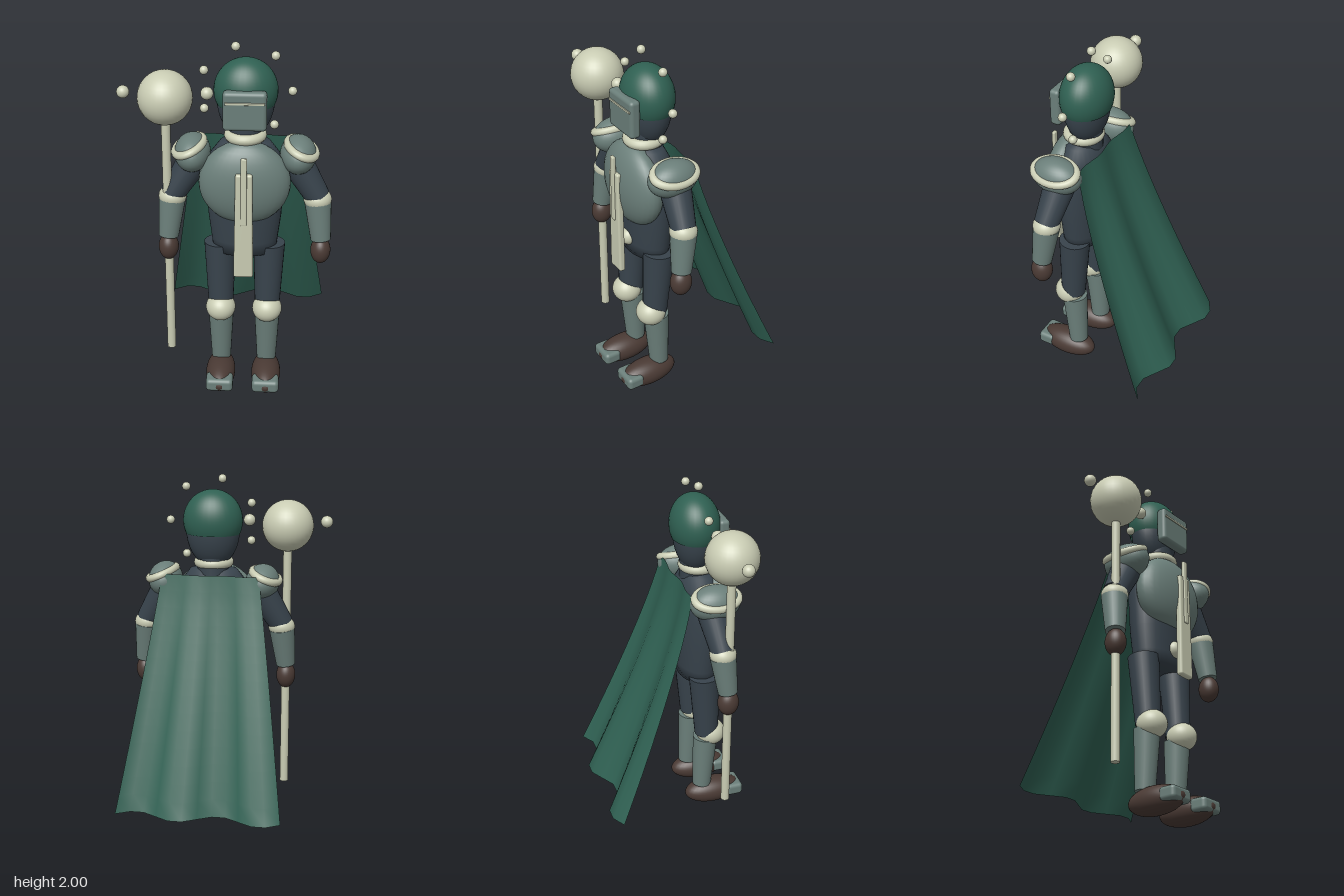
import * as THREE from 'three';
import { RoundedBoxGeometry } from 'three/addons/geometries/RoundedBoxGeometry.js';

const mat = (name, color) => Object.assign(new THREE.MeshStandardMaterial({ color }), { name });

export function createModel() {
  const green = mat('cloth green', 0x2f6052);
  green.side = THREE.DoubleSide;
  const steel = mat('steel grey', 0x6b7f7a);
  const dark = mat('dark padding', 0x38434c);
  const cream = mat('pale trim', 0xc9ccb3);
  const brown = mat('brown leather', 0x4a3a34);

  const model = new THREE.Group();
  model.name = 'knight';
  const body = new THREE.Group(); // centred on the figure, the staff stands apart
  body.name = 'body';
  body.position.x = 0.093;
  model.add(body);

  const add = (parent, name, geometry, material, x, y, z) => {
    const mesh = new THREE.Mesh(geometry, material);
    mesh.name = name;
    mesh.position.set(x, y, z);
    parent.add(mesh);
    return mesh;
  };
  const ball = (parent, name, material, [x, y, z], [rx, ry, rz], thetaEnd = Math.PI) => {
    const g = new THREE.SphereGeometry(1, 32, 20, 0, Math.PI * 2, 0, thetaEnd);
    g.scale(rx, ry, rz); // baked in so that normals stay right
    return add(parent, name, g, material, x, y, z);
  };
  const box = (parent, name, material, [x, y, z], [w, h, d], r) =>
    add(parent, name, new RoundedBoxGeometry(w, h, d, 3, r), material, x, y, z);
  // Tapered limb from a to b
  const limb = (parent, name, material, a, b, ra, rb) => {
    const from = new THREE.Vector3(...a), to = new THREE.Vector3(...b);
    const dir = from.clone().sub(to);
    const mid = from.clone().add(to).multiplyScalar(0.5);
    const mesh = add(parent, name, new THREE.CylinderGeometry(ra, rb, dir.length(), 24), material, mid.x, mid.y, mid.z);
    mesh.quaternion.setFromUnitVectors(new THREE.Vector3(0, 1, 0), dir.normalize());
    return mesh;
  };

  // Torso
  const profile = [[0, 0.85], [0.17, 0.85], [0.178, 0.92], [0.195, 1.06], [0.205, 1.25],
    [0.19, 1.4], [0.13, 1.48], [0, 1.5]].map(([r, y]) => new THREE.Vector2(r, y));
  const torso = new THREE.LatheGeometry(profile, 32);
  torso.scale(1, 1, 0.64);
  add(body, 'torso', torso, dark, 0, 0, 0.19);
  ball(body, 'breastplate', steel, [0, 1.272, 0.26], [0.24, 0.233, 0.112]);
  ball(body, 'buckle', cream, [0, 0.945, 0.295], [0.046, 0.048, 0.046]);

  // Chest ornament: broad strip, slightly wider at the foot, with a narrow bar on it
  const strip = new RoundedBoxGeometry(0.096, 0.6, 0.036, 3, 0.012);
  const p = strip.attributes.position;
  for (let i = 0; i < p.count; i++) p.setX(i, p.getX(i) * (1 - p.getY(i) * 0.3));
  add(body, 'chestStrip', strip, cream, 0, 1.067, 0.364);
  box(body, 'chestBar', cream, [0, 1.27, 0.379], [0.032, 0.38, 0.02], 0.006);

  // Collar and head
  limb(body, 'neck', dark, [0, 1.6, 0.18], [0, 1.44, 0.18], 0.09, 0.09);
  const collar = new THREE.TorusGeometry(0.083, 0.028, 14, 36);
  collar.rotateX(Math.PI / 2);
  add(body, 'collar', collar, cream, 0, 1.515, 0.193);
  ball(body, 'head', dark, [0, 1.7, 0.17], [0.149, 0.21, 0.115]);
  ball(body, 'helmet', green, [0, 1.75, 0.17], [0.165, 0.17, 0.135], Math.PI * 0.64);
  box(body, 'visor', steel, [0, 1.688, 0.303], [0.222, 0.206, 0.06], 0.02);
  box(body, 'visorSlit', cream, [0, 1.735, 0.333], [0.2, 0.013, 0.01], 0.003);

  // Seven orbs circling the head
  for (let i = 0; i < 7; i++) {
    const a = (i / 7) * Math.PI * 2;
    ball(body, 'haloOrb', cream, [Math.cos(a) * 0.237, 1.748 + Math.sin(a) * 0.237, 0.17], [0.023, 0.023, 0.023]);
  }

  // Arms and legs, mirrored
  for (const s of [1, -1]) {
    const side = s > 0 ? 'left' : 'right';
    const arm = new THREE.Group();
    arm.name = side + 'Arm';
    ball(arm, 'pauldron', steel, [s * 0.275, 1.41, 0.193], [0.095, 0.098, 0.14]);
    const rim = new THREE.TorusGeometry(0.08, 0.02, 12, 36);
    rim.rotateX(Math.PI / 2);
    rim.scale(1, 1.1, 1.42);
    rim.rotateZ(-s * 0.38);
    add(arm, 'pauldronRim', rim, cream, s * 0.292, 1.444, 0.193);
    limb(arm, 'upperArm', dark, [s * 0.25, 1.39, 0.175], [s * 0.385, 1.17, 0.2], 0.088, 0.066);
    ball(arm, 'elbow', cream, [s * 0.384, 1.157, 0.2], [0.075, 0.06, 0.073]);
    limb(arm, 'forearm', steel, [s * 0.386, 1.145, 0.2], [s * 0.408, 0.93, 0.225], 0.072, 0.054);
    ball(arm, 'hand', brown, [s * 0.409, 0.865, 0.228], [0.054, 0.075, 0.059]);
    body.add(arm);

    const leg = new THREE.Group();
    leg.name = side + 'Leg';
    limb(leg, 'thigh', dark, [s * 0.133, 0.885, 0.19], [s * 0.128, 0.5, 0.212], 0.086, 0.068);
    ball(leg, 'knee', cream, [s * 0.128, 0.495, 0.238], [0.082, 0.077, 0.083]);
    limb(leg, 'shin', steel, [s * 0.128, 0.47, 0.205], [s * 0.128, 0.14, 0.188], 0.071, 0.054);
    ball(leg, 'boot', brown, [s * 0.128, 0.08, 0.26], [0.082, 0.077, 0.172]);
    box(leg, 'toeCap', steel, [s * 0.128, 0.084, 0.377], [0.15, 0.074, 0.1], 0.022);
    body.add(leg);
  }

  // Cape: a sheet that flares and ripples more towards the hem
  const cape = new THREE.PlaneGeometry(1, 1, 12, 14);
  const c = cape.attributes.position;
  for (let i = 0; i < c.count; i++) {
    const u = c.getX(i), t = 0.5 - c.getY(i);
    const ripple = Math.sin((u + 0.5) * Math.PI * 4) * (0.008 + 0.042 * t);
    c.setXYZ(i, u * 2 * (0.27 + 0.185 * t), 1.46 - 1.25 * t, 0.066 - 0.451 * Math.pow(t, 1.2) - ripple);
  }
  // Turn the sheet so that its front faces backwards
  const idx = cape.index;
  for (let i = 0; i < idx.count; i += 3) {
    const k = idx.getX(i);
    idx.setX(i, idx.getX(i + 1));
    idx.setX(i + 1, k);
  }
  cape.computeVertexNormals();
  add(body, 'cape', cape, green, 0, 0, 0);

  // Staff with its globe and two orbs
  const staff = new THREE.Group();
  staff.name = 'staff';
  staff.position.set(-0.315, 0, 0.227);
  limb(staff, 'staffShaft', cream, [0, 1.65, 0], [0, 0.215, 0], 0.024, 0.024);
  ball(staff, 'staffGlobe', cream, [0, 1.722, 0], [0.142, 0.142, 0.142]);
  for (const s of [1, -1]) ball(staff, 'staffOrb', cream, [s * 0.213, 1.748, 0], [0.033, 0.033, 0.033]);
  model.add(staff);

  return model;
}
